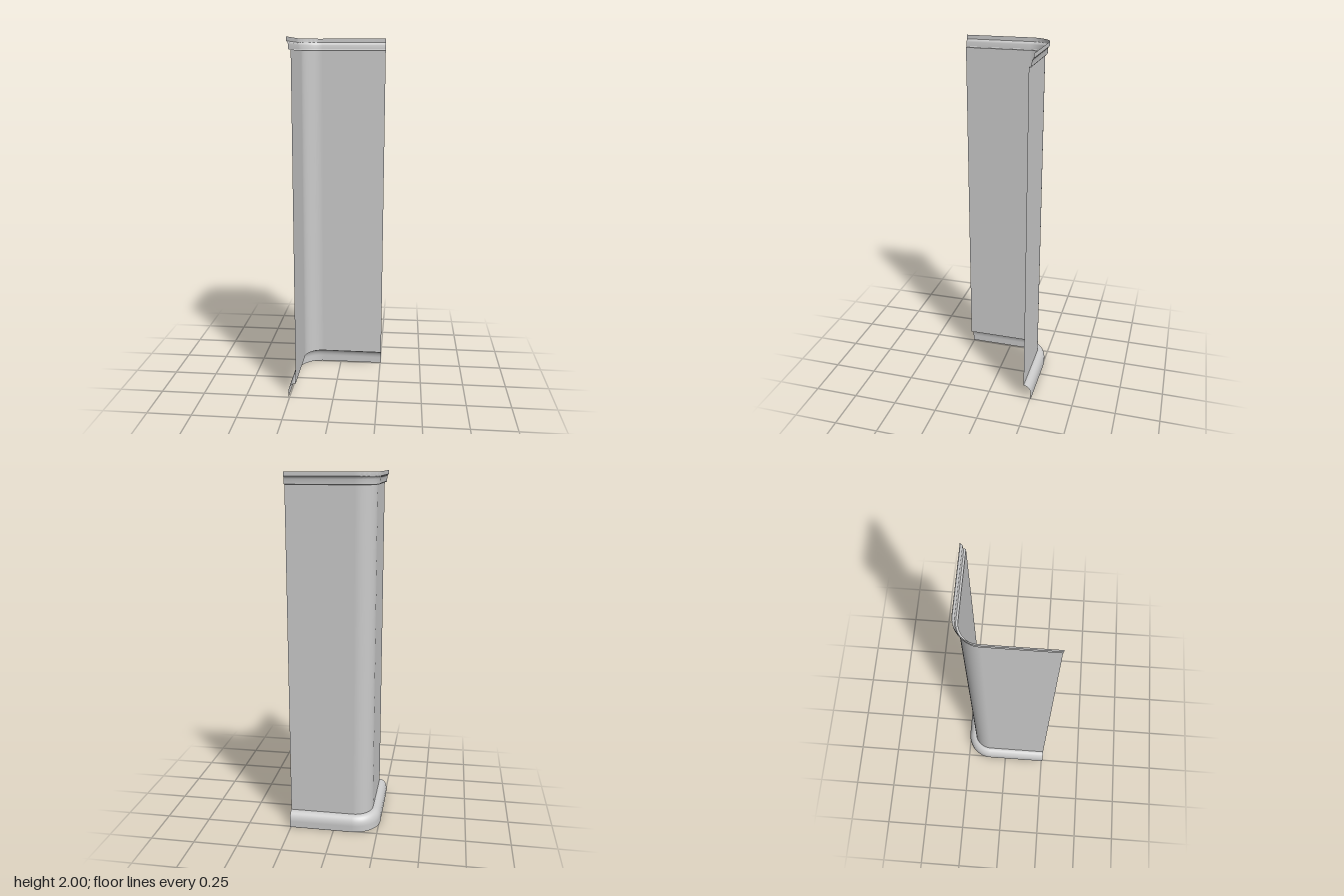
import * as THREE from 'three';
import { toCreasedNormals } from 'three/addons/utils/BufferGeometryUtils.js';

const CENTRE = -0.106; // centre of the rounded corner, in x and z
const END = 0.256;     // where both wings stop
const WALL = 0.212;    // distance of the wall face from the origin
const ARC_STEPS = 16;

// Plan stations: a point on the corner centre line plus its outward direction
function planStations() {
  const stations = [{ x: CENTRE, z: END, nx: -1, nz: 0 }];
  for (let i = 0; i <= ARC_STEPS; i++) {
    const a = (i / ARC_STEPS) * Math.PI / 2;
    stations.push({ x: CENTRE, z: CENTRE, nx: -Math.cos(a), nz: -Math.sin(a) });
  }
  stations.push({ x: END, z: CENTRE, nx: 0, nz: -1 });
  return stations;
}

// Sweep an open profile of [distance out, height] around the corner
function sweep(profile) {
  const stations = planStations();
  const n = profile.length;
  const positions = [];
  const index = [];
  stations.forEach((s, i) => {
    for (const [out, y] of profile) {
      const d = out + CENTRE;
      positions.push(s.x + s.nx * d, y, s.z + s.nz * d);
    }
    if (i === 0) return;
    for (let j = 0; j < n - 1; j++) {
      const a = (i - 1) * n + j, b = i * n + j;
      index.push(a, a + 1, b, b, a + 1, b + 1);
    }
  });
  const geometry = new THREE.BufferGeometry();
  geometry.setAttribute('position', new THREE.Float32BufferAttribute(positions, 3));
  geometry.setIndex(index);
  geometry.computeVertexNormals();
  return geometry;
}

export function createModel() {
  const group = new THREE.Group();
  group.name = 'cornerPanel';
  const material = new THREE.MeshStandardMaterial({ color: 0xcccccc, side: THREE.DoubleSide });
  const add = (name, geometry) => {
    const mesh = new THREE.Mesh(geometry, material);
    mesh.name = name;
    group.add(mesh);
  };

  // Skirting: upright face rolling over into the wall
  const skirting = [[0.256, 0]];
  for (let i = 0; i <= 10; i++) {
    const a = (i / 10) * Math.PI / 2;
    skirting.push([0.216 + 0.04 * Math.cos(a), 0.035 + 0.055 * Math.sin(a)]);
  }
  skirting.push([WALL, 0.09]);
  add('skirting', sweep(skirting));

  // Wall: tall thin sheet
  add('wall', sweep([[WALL, 0.09], [WALL, 1.935]]));

  // Crown moulding: stepped bands with a small cove under the top lip
  add('crown', toCreasedNormals(sweep([
    [WALL, 1.935], [0.222, 1.935], [0.225, 1.939], [0.226, 1.963],
    [0.228, 1.97], [0.232, 1.975], [0.235, 1.978], [0.235, 2],
  ]), 0.6));

  return group;
}
